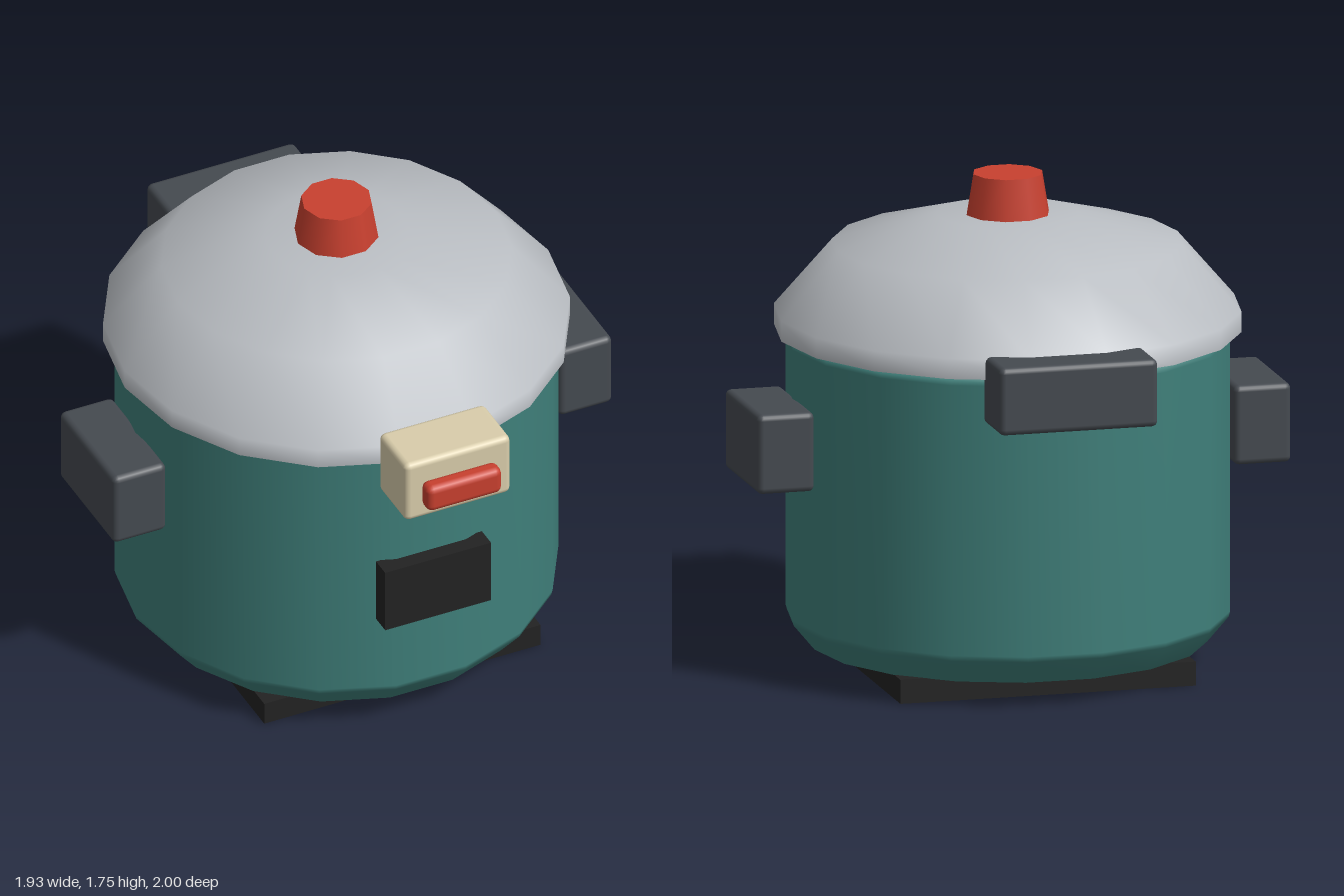
import * as THREE from 'three';
import { RoundedBoxGeometry } from 'three/addons/geometries/RoundedBoxGeometry.js';

const SIDES = 18;
const AXIS_Z = -0.05; // centre line of the pot

function paint(name, color) {
  const m = new THREE.MeshStandardMaterial({ color });
  m.name = name;
  return m;
}

export function createModel() {
  const teal = paint('teal enamel', 0x3f7f7a);
  const silver = paint('silver lid', 0xb9bdc2);
  const slate = paint('slate plastic', 0x454a50);
  const black = paint('black', 0x222222);
  const red = paint('red', 0xc8402f);
  const cream = paint('cream', 0xd9cdab);

  const model = new THREE.Group();
  model.name = 'riceCooker';

  const add = (parent, name, geometry, material, x = 0, y = 0, z = 0) => {
    const mesh = new THREE.Mesh(geometry, material);
    mesh.name = name;
    mesh.position.set(x, y, z);
    parent.add(mesh);
    return mesh;
  };

  // Turned part from [radius, height] pairs, with a corner on the x axis
  const turned = (profile) => new THREE.LatheGeometry(
    profile.map(([r, y]) => new THREE.Vector2(r, y)), SIDES, Math.PI / 2);

  // Box given by its limits on each axis, optionally with softened edges
  const block = (name, material, [x0, x1], [y0, y1], [z0, z1], radius = 0) => {
    const size = [x1 - x0, y1 - y0, z1 - z0];
    const geometry = radius
      ? new RoundedBoxGeometry(...size, 2, radius)
      : new THREE.BoxGeometry(...size);
    return add(model, name, geometry, material, (x0 + x1) / 2, (y0 + y1) / 2, (z0 + z1) / 2);
  };

  // Pot with bevelled foot and rim
  const pot = new THREE.Group();
  pot.name = 'pot';
  pot.position.z = AXIS_Z;
  model.add(pot);
  add(pot, 'potWall', turned([
    [0.70, 0.085], [0.775, 0.175], [0.78, 0.195], [0.78, 1.165], [0.775, 1.183], [0.745, 1.2],
  ]), teal);
  add(pot, 'potUnderside', new THREE.CircleGeometry(0.70, SIDES).rotateX(Math.PI / 2), black, 0, 0.085);

  // Domed lid with a flat underside and upright rim
  const lid = new THREE.Group();
  lid.name = 'lid';
  lid.position.z = AXIS_Z;
  model.add(lid);
  add(lid, 'lidDome', turned([
    [0.82, 1.197], [0.82, 1.27], [0.615, 1.507], [0.25, 1.61], [0, 1.61],
  ]), silver);
  add(lid, 'lidUnderside', new THREE.CircleGeometry(0.82, SIDES).rotateX(Math.PI / 2), silver, 0, 1.197);
  add(lid, 'lidKnob',
    new THREE.CylinderGeometry(0.125, 0.15, 0.15, 10, 1, false, Math.PI / 2), red, 0, 1.68);

  // Square base plate
  block('basePlate', black, [-0.535, 0.535], [0, 0.086], [-0.585, 0.485]);

  // Side handles
  for (const [name, s] of [['leftHandle', 1], ['rightHandle', -1]]) {
    const x = s > 0 ? [0.76, 0.967] : [-0.967, -0.76];
    block(name, slate, x, [0.705, 0.99], [-0.278, 0.17], 0.022);
  }

  // Hinge at the back
  block('backHinge', slate, [-0.287, 0.287], [1.035, 1.278], [-1, -0.768], 0.022);

  // Latch and its button
  block('latch', cream, [-0.205, 0.205], [1.077, 1.322], [0.718, 0.94], 0.022);
  block('latchButton', red, [-0.145, 0.145], [1.135, 1.24], [0.932, 1], 0.025);

  // Control panel
  block('controlPanel', black, [-0.205, 0.205], [0.497, 0.747], [0.70, 0.775]);

  return model;
}
